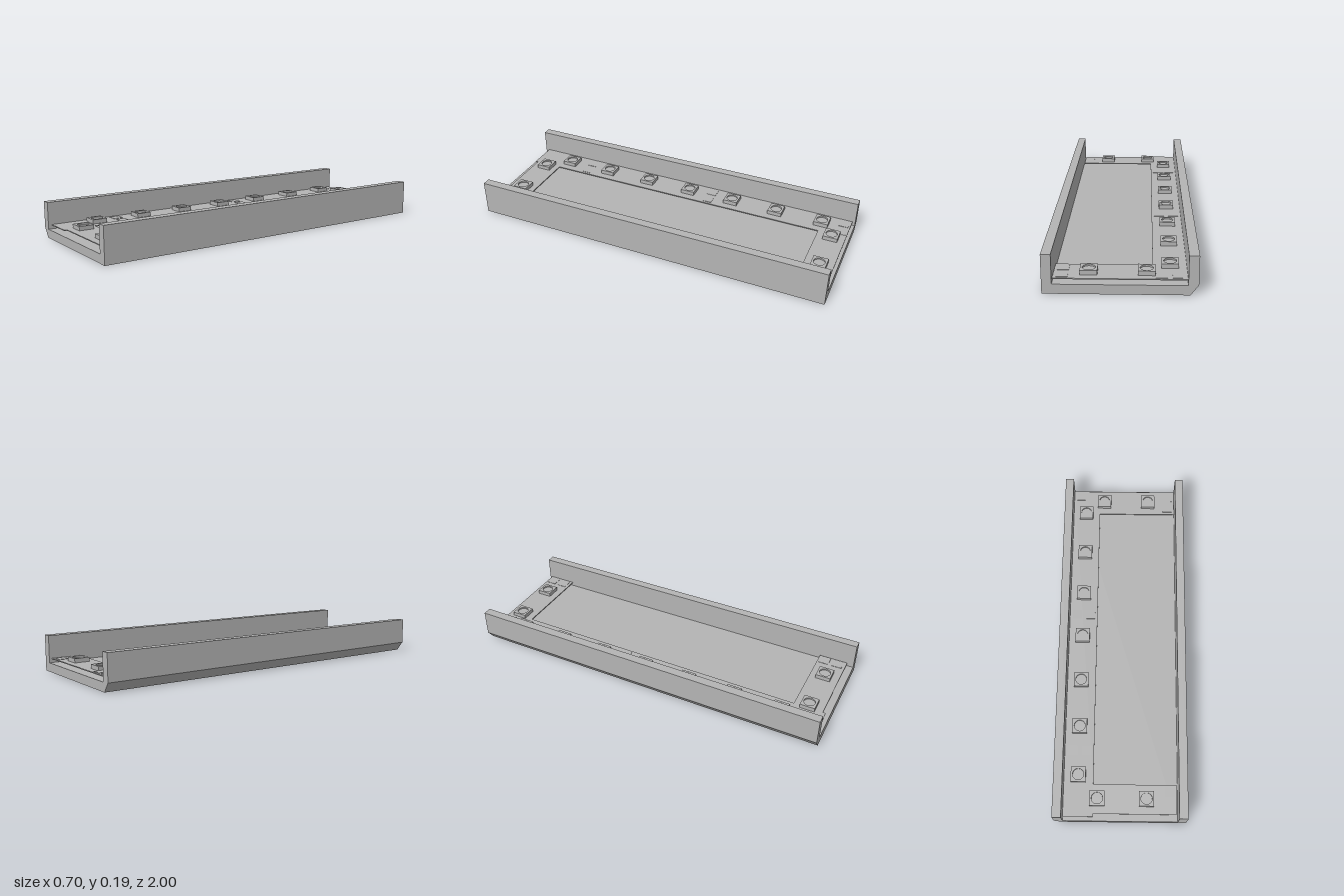
import * as THREE from 'three';

const grey = new THREE.MeshStandardMaterial({ color: 0xb4b4b4 });
grey.name = 'plain grey';

function polygon(points) {
  return new THREE.Shape(points.map(([x, y]) => new THREE.Vector2(x, y)));
}

// Extrudes a plan drawn as (x, z) upward from height y
function slab(points, y, height) {
  const geo = new THREE.ExtrudeGeometry(polygon(points.map(([x, z]) => [x, -z])), { depth: height, bevelEnabled: false });
  geo.rotateX(-Math.PI / 2);
  geo.translate(0, y, 0);
  return geo;
}

function add(parent, name, geo, x = 0, y = 0, z = 0) {
  const mesh = new THREE.Mesh(geo, grey);
  mesh.name = name;
  mesh.position.set(x, y, z);
  parent.add(mesh);
  return mesh;
}

export function createModel() {
  const model = new THREE.Group();
  model.name = 'lightChannel';

  // U-shaped channel with one chamfered lower edge
  const profile = polygon([
    [-0.315, 0], [0.35, 0], [0.35, 0.19], [0.304, 0.19], [0.304, 0.047],
    [-0.305, 0.047], [-0.305, 0.19], [-0.352, 0.19], [-0.352, 0.05],
  ]);
  const channel = new THREE.ExtrudeGeometry(profile, { depth: 2, bevelEnabled: false });
  channel.translate(0, 0, -1);
  add(model, 'channel', channel);

  // C-shaped strip carried above the channel floor
  const top = 0.07;
  add(model, 'strip', slab([
    [-0.305, -0.985], [0.303, -0.985], [0.303, -0.83], [-0.147, -0.83], [-0.147, 0.81],
    [0.297, 0.81], [0.297, 0.965], [-0.147, 0.965], [-0.147, 0.98], [-0.305, 0.98],
  ], 0.065, top - 0.065));

  // Square lamp housing with a round recess
  const h = 0.04, r = 0.03, height = 0.022, recess = 0.008;
  const rim = polygon([[-h, -h], [h, -h], [h, h], [-h, h]]);
  rim.holes.push(new THREE.Path().absarc(0, 0, r, 0, Math.PI * 2, true));
  const housingGeo = new THREE.ExtrudeGeometry(rim, { depth: height, bevelEnabled: false, curveSegments: 24 });
  housingGeo.rotateX(-Math.PI / 2);
  const lensGeo = new THREE.CircleGeometry(r, 24).rotateX(-Math.PI / 2);

  const lamps = [[-0.12, -0.91], [0.143, -0.91], [-0.125, 0.885], [0.138, 0.885]];
  for (let i = 0; i < 7; i++) lamps.push([-0.228, -0.83 + i * 0.265]);
  for (const [x, z] of lamps) {
    const lamp = new THREE.Group();
    lamp.name = 'lamp';
    lamp.position.set(x, top, z);
    add(lamp, 'housing', housingGeo);
    add(lamp, 'lens', lensGeo, 0, height - recess, 0);
    model.add(lamp);
  }

  // Thin solder pads in pairs
  const padGeo = new THREE.BoxGeometry(0.053, 0.002, 0.053);
  for (const z of [-0.95, -0.1675, 0.6275])
    for (const x of [-0.263, -0.187]) add(model, 'solderPad', padGeo, x, top + 0.001, z);
  for (const z of [-0.91, 0.885])
    for (const side of [-1, 1]) add(model, 'solderPad', padGeo, 0.262, top + 0.001, z + side * 0.037);

  return model;
}
